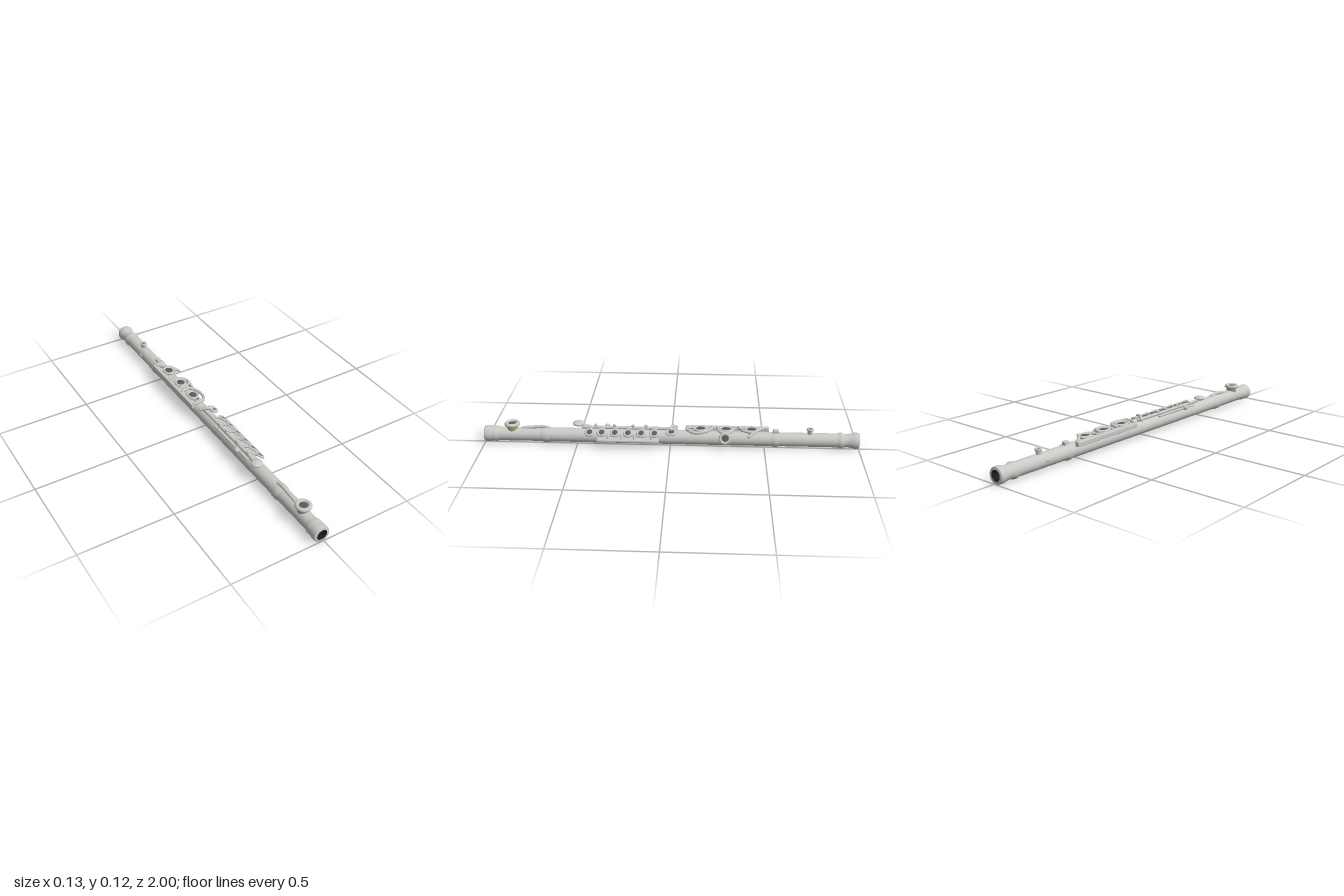
import * as THREE from 'three';
import { RoundedBoxGeometry } from 'three/addons/geometries/RoundedBoxGeometry.js';

const CX = -0.012, CY = 0.044; // tube axis

export function createModel() {
  const root = new THREE.Group();
  root.name = 'flute';
  const mat = (name, color, side = THREE.FrontSide) => {
    const m = new THREE.MeshStandardMaterial({ color, side });
    m.name = name;
    return m;
  };
  const silver = mat('silver', 0xc9c9c6);
  const dark = mat('dark bore', 0x1c1c1c, THREE.DoubleSide);
  const padMat = mat('grey pad', 0x5c5c5a);
  const brass = mat('olive riser', 0xa8a878);

  const add = (name, geo, m, x = 0, y = 0, z = 0, parent = root) => {
    const mesh = new THREE.Mesh(geo, m);
    mesh.name = name;
    mesh.position.set(x, y, z);
    parent.add(mesh);
    return mesh;
  };
  const box = (name, w, h, d, x, y, z, r = 0.005) =>
    add(name, new RoundedBoxGeometry(w, h, d, 3, r), silver, x, y, z);
  const tube = (name, pts, r) => {
    const curve = new THREE.CatmullRomCurve3(pts.map(p => new THREE.Vector3(...p)));
    add(name, new THREE.TubeGeometry(curve, 28, r, 10), silver);
    for (const p of [pts[0], pts[pts.length - 1]])
      add(name + 'End', new THREE.SphereGeometry(r, 10, 8), silver, ...p);
  };
  // Ring with a pad inside; n is the direction it faces
  const ringKey = (name, x, y, z, R, r, n = [0, 1, 0], stretch = 1) => {
    const g = new THREE.Group();
    g.name = name;
    g.position.set(x, y, z);
    g.quaternion.setFromUnitVectors(new THREE.Vector3(0, 0, 1), new THREE.Vector3(...n).normalize());
    g.scale.y = stretch;
    add('rim', new THREE.TorusGeometry(R, r, 12, 32), silver, 0, 0, 0, g);
    const pad = add('pad', new THREE.CylinderGeometry(R, R, 0.006, 28), padMat, 0, 0, 0, g);
    pad.rotation.x = Math.PI / 2;
    root.add(g);
  };

  // Hollow body with collars and flared ends: [z, radius]
  const profile = [
    [-1, 0.028], [-1, 0.04], [-0.995, 0.043], [-0.975, 0.043], [-0.965, 0.04], [-0.94, 0.035],
    [-0.92, 0.036], [-0.91, 0.041], [-0.9, 0.042], [-0.89, 0.039], [-0.88, 0.037],
    [-0.575, 0.037], [-0.57, 0.042], [-0.55, 0.042], [-0.54, 0.038], [-0.53, 0.038],
    [0.645, 0.038], [0.65, 0.042], [0.68, 0.042], [0.69, 0.038], [0.7, 0.037],
    [0.91, 0.037], [0.925, 0.038], [0.935, 0.042], [0.945, 0.041], [0.96, 0.041], [0.97, 0.043],
    [0.995, 0.043], [1, 0.04], [1, 0.028],
  ];
  const body = new THREE.LatheGeometry(profile.map(([z, r]) => new THREE.Vector2(r, z)), 48);
  add('body', body.rotateX(Math.PI / 2), silver, CX, CY, 0);
  const bore = new THREE.CylinderGeometry(0.028, 0.028, 2, 40, 1, true);
  add('bore', bore.rotateX(Math.PI / 2), dark, CX, CY, 0);

  // Mouth plate on its riser, with the strap running back to the collar
  add('mouthRiser', new THREE.CylinderGeometry(0.03, 0.027, 0.03, 28), brass, CX, 0.084, 0.85);
  ringKey('mouthPlate', CX, 0.104, 0.85, 0.031, 0.0105);
  tube('mouthStrap', [[CX, 0.083, 0.65], [CX, 0.09, 0.68], [CX, 0.086, 0.74], [CX, 0.08, 0.79]], 0.009);

  // Tail knob, clip and collar tab
  add('knobStem', new THREE.CylinderGeometry(0.016, 0.012, 0.028, 20), silver, -0.013, 0.09, -0.74);
  ringKey('knob', -0.013, 0.104, -0.74, 0.013, 0.006);
  box('sideClip', 0.01, 0.014, 0.03, -0.049, 0.05, -0.71);
  box('collarTab', 0.026, 0.022, 0.032, CX, 0.089, -0.56);

  // Long rail beside the large keys
  box('keyRail', 0.026, 0.026, 0.44, -0.051, 0.081, -0.305);

  // Three large keys with curved arms
  for (const z of [-0.43, -0.295, -0.16]) {
    add('keySeat', new THREE.CylinderGeometry(0.022, 0.024, 0.02, 24), silver, -0.014, 0.082, z);
    ringKey('largeKey', -0.014, 0.095, z, 0.026, 0.007, [0, 1, 0], 1.2);
  }
  tube('rearArm', [[-0.045, 0.094, -0.51], [-0.02, 0.097, -0.48], [0.012, 0.097, -0.45], [0.045, 0.082, -0.415]], 0.008);
  tube('rearArmBrace', [[0.02, 0.094, -0.44], [0.005, 0.096, -0.39], [-0.045, 0.093, -0.36]], 0.007);
  tube('middleArm', [[-0.045, 0.093, -0.34], [0.005, 0.097, -0.33], [0.03, 0.092, -0.3],
    [0.015, 0.096, -0.26], [-0.045, 0.093, -0.25]], 0.007);
  tube('frontArm', [[-0.045, 0.094, -0.22], [0.0, 0.1, -0.215], [0.03, 0.095, -0.17],
    [0.03, 0.093, -0.12], [0.005, 0.098, -0.09], [-0.045, 0.093, -0.09]], 0.008);
  ringKey('smallTopKey', -0.012, 0.094, -0.115, 0.013, 0.006);

  // Loop key hanging on the side
  ringKey('sideLoop', 0.04, 0.067, -0.29, 0.025, 0.008, [1, 0.4, 0]);

  // Rods, posts and lever along the top
  tube('mainRod', [[-0.022, 0.088, -0.03], [-0.022, 0.088, 0.22], [-0.022, 0.088, 0.47]], 0.009);
  tube('outerRod', [[-0.042, 0.08, 0.12], [-0.042, 0.08, 0.28], [-0.042, 0.08, 0.42]], 0.007);
  tube('lever', [[-0.042, 0.092, -0.03], [-0.015, 0.104, -0.01], [0.01, 0.1, 0.0]], 0.009);
  for (const z of [0.13, 0.2, 0.3, 0.4]) {
    add('post', new THREE.CylinderGeometry(0.006, 0.008, 0.04, 14), silver, -0.022, 0.085, z);
    add('postBall', new THREE.SphereGeometry(0.009, 14, 10), silver, -0.022, 0.1, z);
  }
  add('sideBall', new THREE.SphereGeometry(0.014, 16, 12), silver, -0.05, 0.083, 0.34);

  // Round thumb touch at the end of the rods
  const touch = add('thumbTouch', new THREE.SphereGeometry(0.031, 24, 16), silver, -0.033, 0.104, 0.495);
  touch.scale.set(1, 0.42, 1);
  tube('touchStem', [[-0.033, 0.1, 0.49], [-0.03, 0.092, 0.45], [-0.022, 0.088, 0.42]], 0.009);

  // Row of small tilted ring keys, each with an arm to the main rod
  for (const z of [0.085, 0.155, 0.225, 0.295, 0.365, 0.43]) {
    ringKey('smallKey', 0.029, 0.082, z, 0.019, 0.006, [0.75, 1, 0], 1.05);
    tube('keyArm', [[-0.022, 0.09, z - 0.02], [-0.004, 0.094, z - 0.012], [0.013, 0.092, z]], 0.005);
  }
  ringKey('endKey', 0.02, 0.088, -0.005, 0.019, 0.007, [0.4, 1, 0], 1.2);

  // Side bar carrying the small keys
  box('sideBar', 0.04, 0.014, 0.33, 0.045, 0.048, 0.225);
  for (const z of [0.1, 0.19, 0.26, 0.33])
    tube('barStrut', [[0.047, 0.05, z], [0.045, 0.06, z], [0.038, 0.072, z]], 0.006);

  return root;
}
